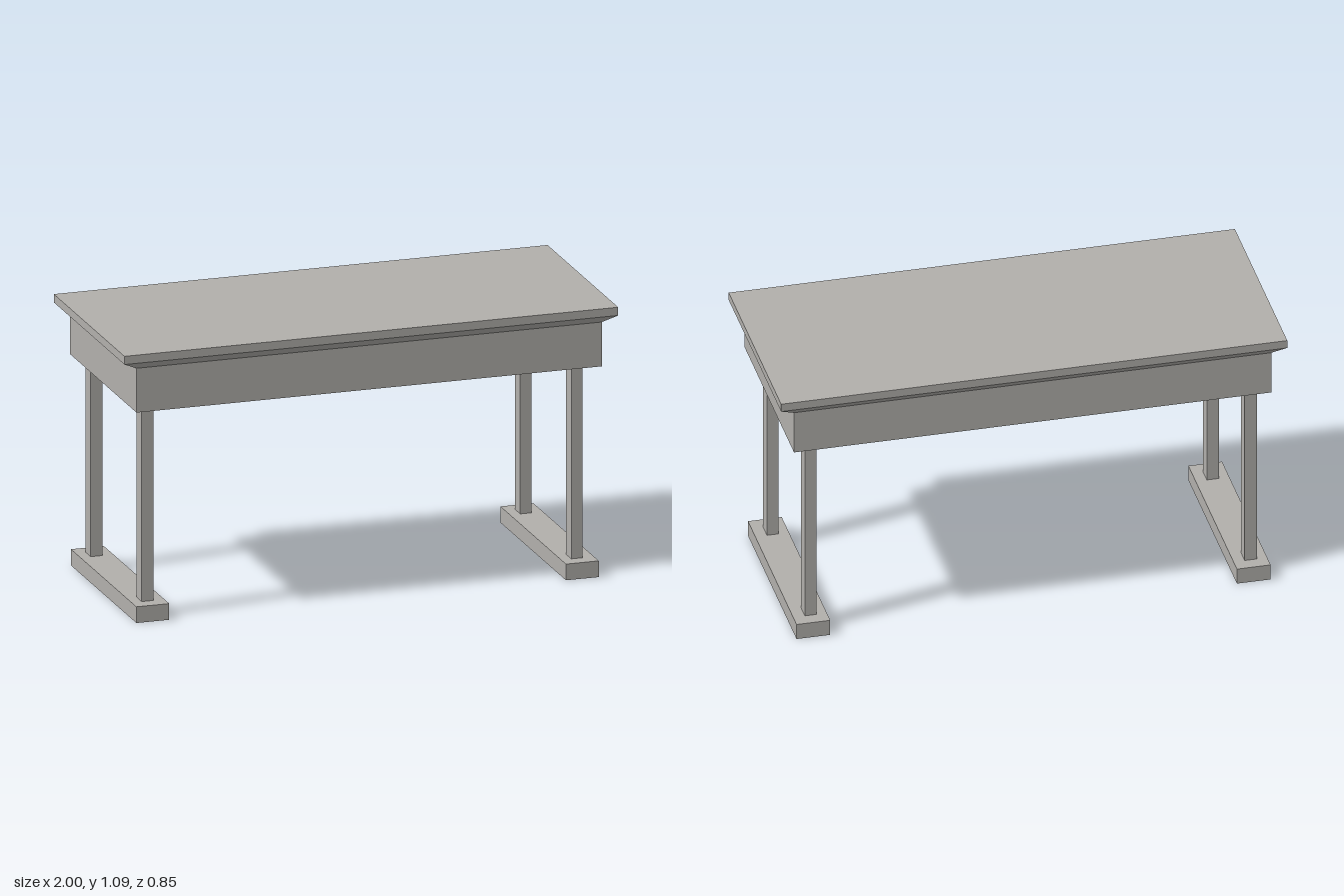
import * as THREE from 'three';

export function createModel() {
  const model = new THREE.Group();
  const grey = new THREE.MeshStandardMaterial({ color: 0xb2b0ac });
  grey.name = 'warm grey';

  // Box given by its lower and upper limits on each axis
  function addBox(name, [x0, x1], [y0, y1], [z0, z1]) {
    const mesh = new THREE.Mesh(new THREE.BoxGeometry(x1 - x0, y1 - y0, z1 - z0), grey);
    mesh.position.set((x0 + x1) / 2, (y0 + y1) / 2, (z0 + z1) / 2);
    mesh.name = name;
    model.add(mesh);
    return mesh;
  }

  // Table top and the apron below it
  addBox('tableTop', [-1, 1], [1.052, 1.085], [-0.426, 0.426]);
  addBox('apron', [-0.943, 0.943], [0.846, 1.024], [-0.401, 0.401]);

  // Sloped moulding: a box whose lower corners are drawn in to the apron
  const moulding = addBox('moulding', [-1, 1], [1.024, 1.052], [-0.426, 0.426]);
  const p = moulding.geometry.attributes.position;
  for (let i = 0; i < p.count; i++) {
    if (p.getY(i) < 0) {
      p.setX(i, Math.sign(p.getX(i)) * 0.943);
      p.setZ(i, Math.sign(p.getZ(i)) * 0.401);
    }
  }
  moulding.geometry = moulding.geometry.toNonIndexed();
  moulding.geometry.computeVertexNormals();

  // Each end has a foot rail carrying two posts
  const ends = [
    { side: 'right', foot: [-0.943, -0.81], post: [-0.902, -0.854] },
    { side: 'left', foot: [0.797, 0.93], post: [0.838, 0.884] },
  ];
  for (const { side, foot, post } of ends) {
    addBox(side + 'Foot', foot, [0, 0.065], [-0.389, 0.4]);
    addBox(side + 'FrontLeg', post, [0.065, 0.846], [0.281, 0.342]);
    addBox(side + 'BackLeg', post, [0.065, 0.846], [-0.334, -0.273]);
  }
  return model;
}
